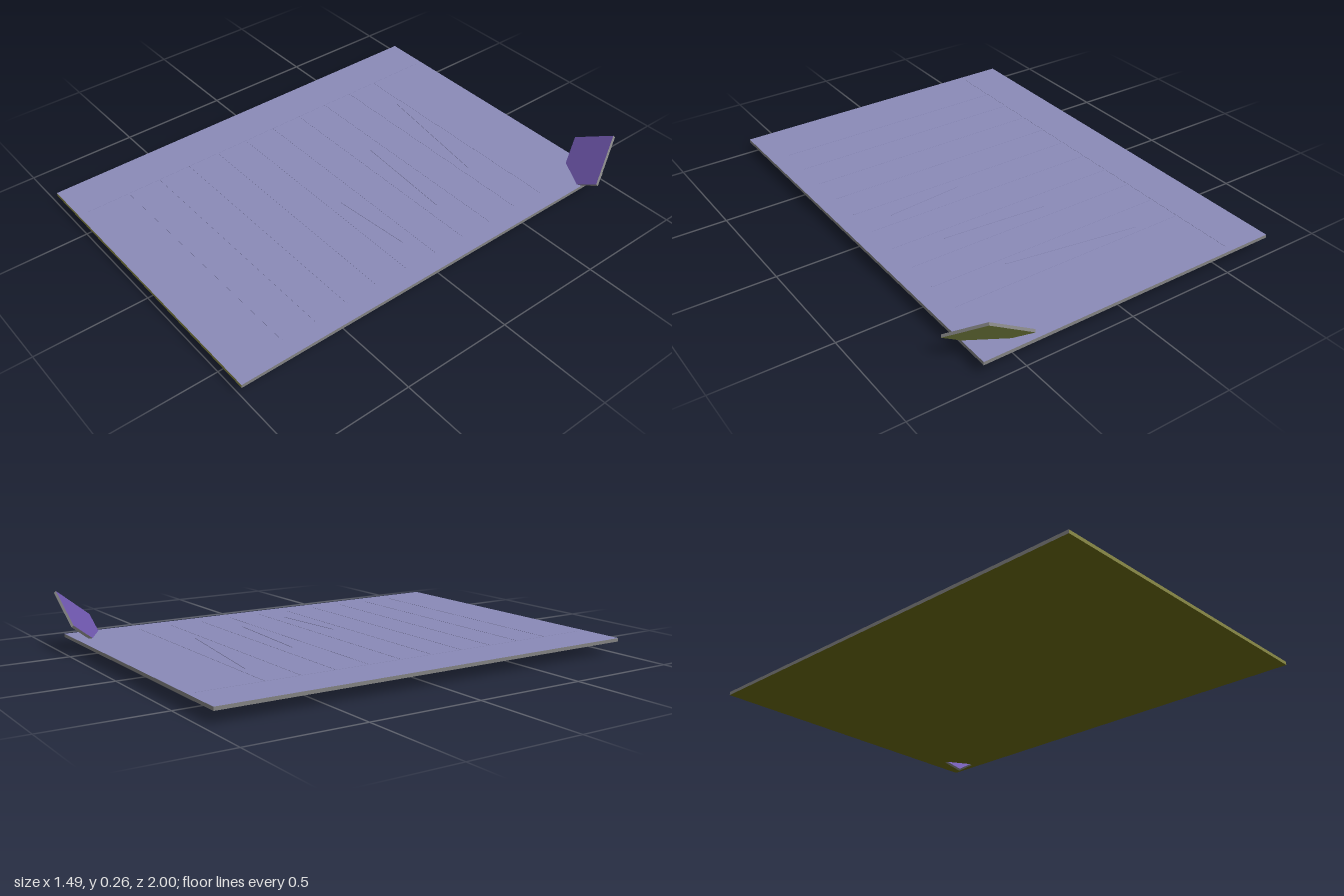
import * as THREE from 'three';

const mat = (color) => new THREE.MeshStandardMaterial({ color, flatShading: true });

export function createModel() {
  const model = new THREE.Group();
  const upper = mat(0x8a8ab8), edge = mat(0x808080), edgeFront = mat(0x8a8a48), under = mat(0x66660f);

  // thin rectangular sheet
  const left = -0.75, right = 0.66, back = -0.963, front = 1, low = 0.053, topY = 0.068;
  const sheet = new THREE.Mesh(
    new THREE.BoxGeometry(right - left, topY - low, front - back),
    [edge, edge, upper, under, edgeFront, edge]
  );
  sheet.name = 'sheet';
  sheet.position.set((left + right) / 2, (low + topY) / 2, (front + back) / 2);
  model.add(sheet);

  // hair-thin raised strip lying on the sheet between two points
  const addStroke = (parent, name, x1, z1, x2, z2, rise) => {
    const dx = x2 - x1, dz = z2 - z1;
    const stroke = new THREE.Mesh(new THREE.BoxGeometry(Math.hypot(dx, dz), rise * 2, 0.004), upper);
    stroke.name = name;
    stroke.position.set((x1 + x2) / 2, topY, (z1 + z2) / 2);
    stroke.rotation.y = -Math.atan2(dz, dx);
    parent.add(stroke);
  };

  // margin line and ten evenly spaced ruled lines
  const ruling = new THREE.Group();
  ruling.name = 'ruling';
  addStroke(ruling, 'marginLine', -0.55, -0.93, -0.55, 0.955, 0.001);
  for (let i = 0; i < 10; i++) {
    const z = -0.645 + i * 0.1556;
    addStroke(ruling, 'ruledLine', -0.55, z, 0.575, z, 0.001);
  }
  model.add(ruling);

  // slanted pen strokes
  const writing = new THREE.Group();
  writing.name = 'writing';
  for (const [x1, z1, x2, z2] of [
    [-0.345, -0.615, 0.255, -0.525],
    [-0.13, -0.27, 0.355, -0.235],
    [0.085, 0.075, 0.445, 0.04],
  ]) addStroke(writing, 'penStroke', x1, z1, x2, z2, 0.002);
  model.add(writing);

  // tilted square tab pushed through the back corner
  const across = new THREE.Vector3(0.2, 0.12, 0).normalize();
  const down = new THREE.Vector3(0.081, -0.135, 0.18).normalize();
  const normal = new THREE.Vector3().crossVectors(down, across).normalize();
  const tab = new THREE.Mesh(
    new THREE.BoxGeometry(0.233, 0.012, 0.238),
    [edge, edge, mat(0x7058b0), mat(0x8a944c), edge, edge]
  );
  tab.name = 'cornerTab';
  tab.quaternion.setFromRotationMatrix(new THREE.Matrix4().makeBasis(across, normal, down));
  tab.position.set(0.602, 0.131, -0.907);
  model.add(tab);

  return model;
}
